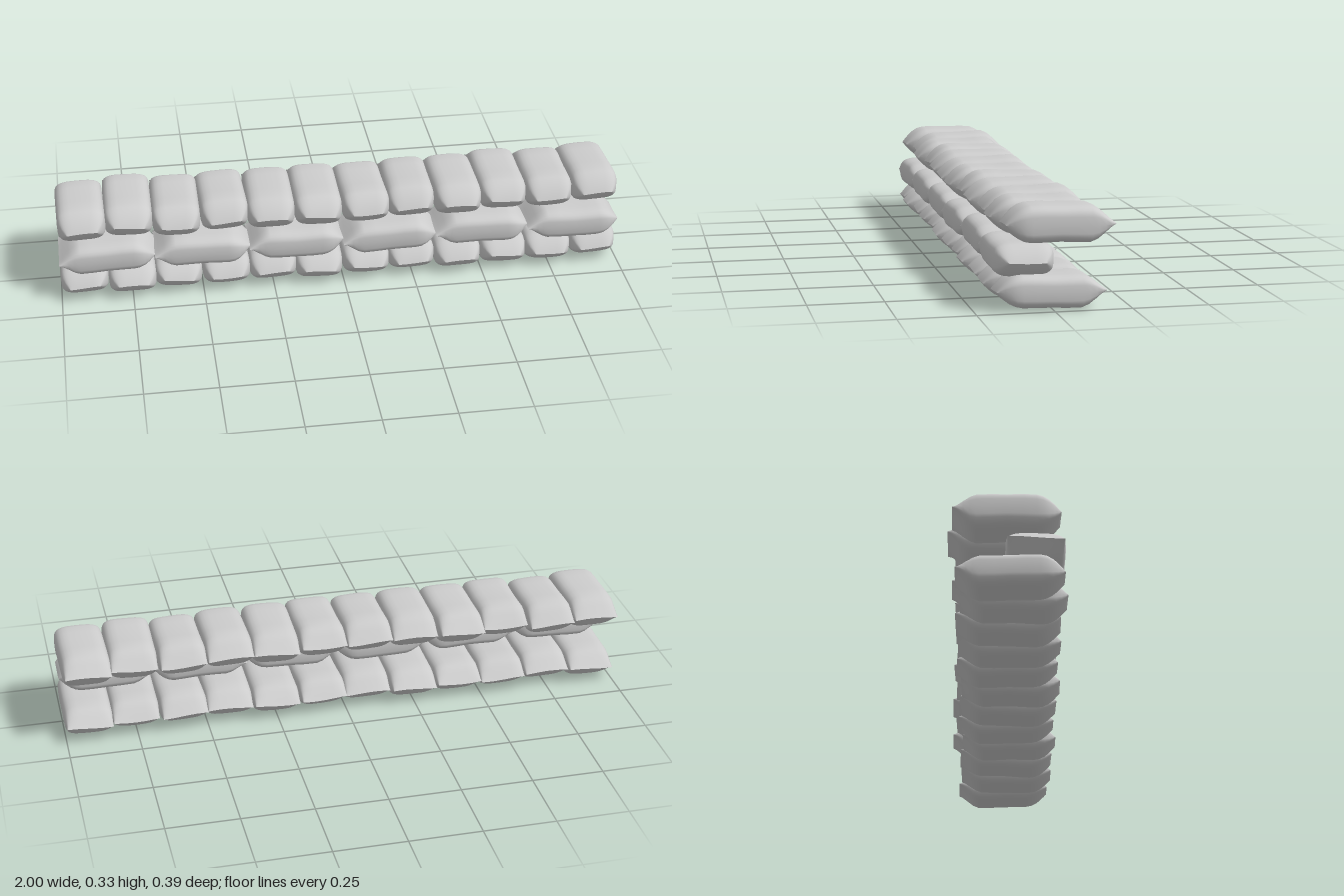
import * as THREE from 'three';

// Bag sections along its length: [z, half height, half width], all relative to a unit half size.
// The back ends in a wide flat seam, the front in a narrower tucked one.
const SECTIONS = [
  [-1, 0, 0.96], [-0.92, 0.2, 0.96], [-0.8, 0.55, 0.97], [-0.68, 0.83, 0.99], [-0.56, 0.98, 1],
  [-0.3, 0.98, 1], [0, 0.95, 1], [0.3, 0.98, 1], [0.54, 0.98, 1], [0.66, 0.9, 0.99],
  [0.77, 0.73, 0.93], [0.87, 0.48, 0.83], [0.95, 0.22, 0.7], [1, 0, 0.62],
];
const SIDES = 28;

// Pillow shape lofted through rounded-rectangle rings
function bagGeometry(halfWidth, halfHeight, halfLength, wobble) {
  const positions = [], index = [];
  const soften = (v) => Math.sign(v) * Math.pow(Math.abs(v), 0.55);
  SECTIONS.forEach(([z, h, w]) => {
    for (let i = 0; i < SIDES; i++) {
      const a = (i / SIDES) * Math.PI * 2;
      const x = soften(Math.cos(a)) * w * halfWidth;
      const y = soften(Math.sin(a)) * h * halfHeight;
      const sag = 0.003 * Math.sin(z * 2.5 + wobble);
      const ripple = 0.004 * Math.abs(z) ** 3 * Math.sin((x / halfWidth) * 2 + wobble);
      positions.push(x, y + sag * h + ripple, z * halfLength);
    }
  });
  for (let k = 0; k < SECTIONS.length - 1; k++) {
    for (let i = 0; i < SIDES; i++) {
      const j = (i + 1) % SIDES;
      const a = k * SIDES + i, b = k * SIDES + j, c = b + SIDES, d = a + SIDES;
      index.push(a, b, c, a, c, d);
    }
  }
  const geometry = new THREE.BufferGeometry();
  geometry.setAttribute('position', new THREE.Float32BufferAttribute(positions, 3));
  geometry.setIndex(index);
  geometry.computeVertexNormals();
  return geometry;
}

export function createModel() {
  const model = new THREE.Group();
  model.name = 'sandbagWall';
  const cloth = new THREE.MeshStandardMaterial({ color: 0xcccccc, side: THREE.DoubleSide });
  cloth.name = 'sackcloth';

  // Small depth offsets make the crosswise rows uneven
  const rows = [
    { name: 'bottomRow', y: 0.057, h: 0.056,
      dz: [0.005, 0.02, 0.004, 0.01, 0.006, 0.02, 0.012, 0.008, 0.022, 0.012, 0.015, 0.005] },
    { name: 'topRow', y: 0.269, h: 0.062,
      dz: [-0.006, -0.022, 0.002, -0.012, -0.001, 0, 0.003, -0.009, -0.002, -0.018, -0.006, -0.022] },
  ];
  rows.forEach(({ name, y, h, dz }, r) => {
    const row = new THREE.Group();
    row.name = name;
    dz.forEach((z, i) => {
      const bag = new THREE.Mesh(bagGeometry(0.084, h, 0.174, i * 1.7 + r), cloth);
      bag.name = 'crosswiseSandbag';
      bag.position.set(-0.916 + (i * 1.832) / 11, y, z);
      bag.rotation.y = 0.02 * Math.sin(i * 2.3 + r);
      row.add(bag);
    });
    model.add(row);
  });

  // Middle row lies lengthwise, set towards the front
  const middle = new THREE.Group();
  middle.name = 'middleRow';
  for (let i = 0; i < 6; i++) {
    const bag = new THREE.Mesh(bagGeometry(0.096, 0.056, 0.168, i * 2.1), cloth);
    bag.name = 'lengthwiseSandbag';
    bag.position.set(-0.832 + (i * 1.664) / 5, 0.158, 0.086 + 0.003 * Math.sin(i * 2.7));
    bag.rotation.y = Math.PI / 2;
    middle.add(bag);
  }
  model.add(middle);
  return model;
}
